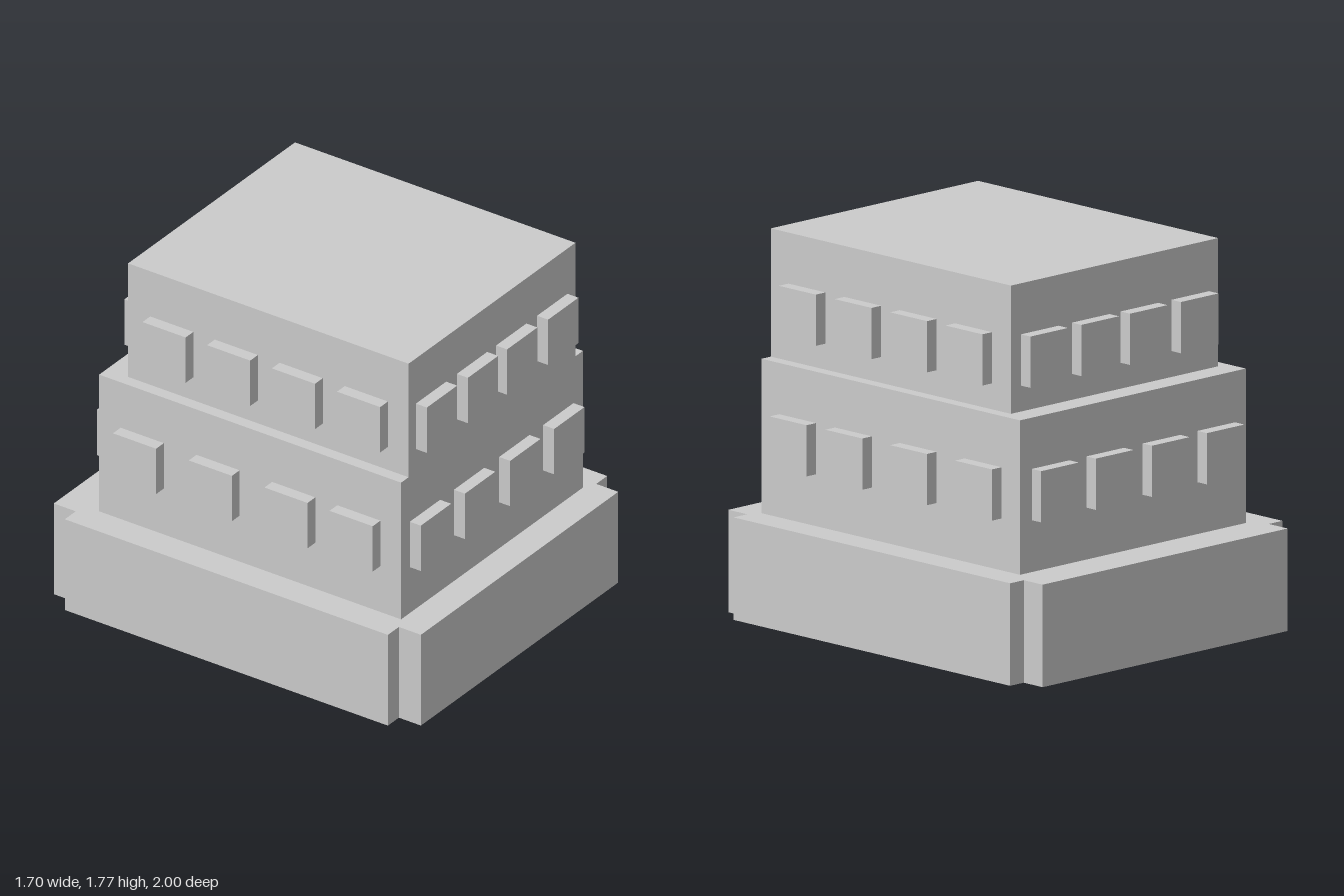
import * as THREE from 'three';

const material = new THREE.MeshStandardMaterial({ color: 0xcccccc, flatShading: true });
const PANE = 0.235; // window width and height
const DEPTH = 0.06; // how far a window stands out from its wall

// Box given by its limits on each axis
function block(name, [x0, x1], [y0, y1], [z0, z1]) {
  const mesh = new THREE.Mesh(new THREE.BoxGeometry(x1 - x0, y1 - y0, z1 - z0), material);
  mesh.position.set((x0 + x1) / 2, (y0 + y1) / 2, (z0 + z1) / 2);
  mesh.name = name;
  return mesh;
}

// Plinth with a square notch at each corner
function createPlinth() {
  const [w, wIn, d, dIn, h] = [0.85, 0.765, 1, 0.88, 0.47];
  const outline = [
    [w, -dIn], [w, dIn], [wIn, dIn], [wIn, d], [-wIn, d], [-wIn, dIn],
    [-w, dIn], [-w, -dIn], [-wIn, -dIn], [-wIn, -d], [wIn, -d], [wIn, -dIn],
  ].map(([x, y]) => new THREE.Vector2(x, y));
  const geometry = new THREE.ExtrudeGeometry(new THREE.Shape(outline), { depth: h, bevelEnabled: false });
  geometry.rotateX(-Math.PI / 2);
  const plinth = new THREE.Mesh(geometry, material);
  plinth.name = 'plinth';
  return plinth;
}

// One storey: a solid block with a row of projecting windows on all four walls
function createStorey({ name, halfWidth, back, front, bottom, top, sill, xs, zs }) {
  const storey = new THREE.Group();
  storey.name = name;
  storey.add(block('walls', [-halfWidth, halfWidth], [bottom, top], [back, front]));

  const heights = [sill, sill + PANE];
  for (const x of xs) {
    const span = [x - PANE / 2, x + PANE / 2];
    storey.add(block('frontWindow', span, heights, [front, front + DEPTH]));
    storey.add(block('backWindow', span, heights, [back - DEPTH, back]));
  }
  for (const z of zs) {
    const span = [z - PANE / 2, z + PANE / 2];
    storey.add(block('leftWindow', [halfWidth, halfWidth + DEPTH], heights, span));
    storey.add(block('rightWindow', [-halfWidth - DEPTH, -halfWidth], heights, span));
  }
  return storey;
}

export function createModel() {
  const model = new THREE.Group();
  model.name = 'steppedBuilding';
  model.add(createPlinth());
  model.add(createStorey({
    name: 'lowerStorey', halfWidth: 0.705, back: -0.795, front: 0.85,
    bottom: 0.47, top: 1.178, sill: 0.708,
    xs: [-0.52, -0.178, 0.173, 0.514], zs: [0.62, 0.265, -0.147, -0.56],
  }));
  model.add(createStorey({
    name: 'upperStorey', halfWidth: 0.647, back: -0.678, front: 0.85,
    bottom: 1.178, top: 1.766, sill: 1.297,
    xs: [-0.473, -0.155, 0.149, 0.467], zs: [0.62, 0.265, -0.088, -0.44],
  }));
  return model;
}
